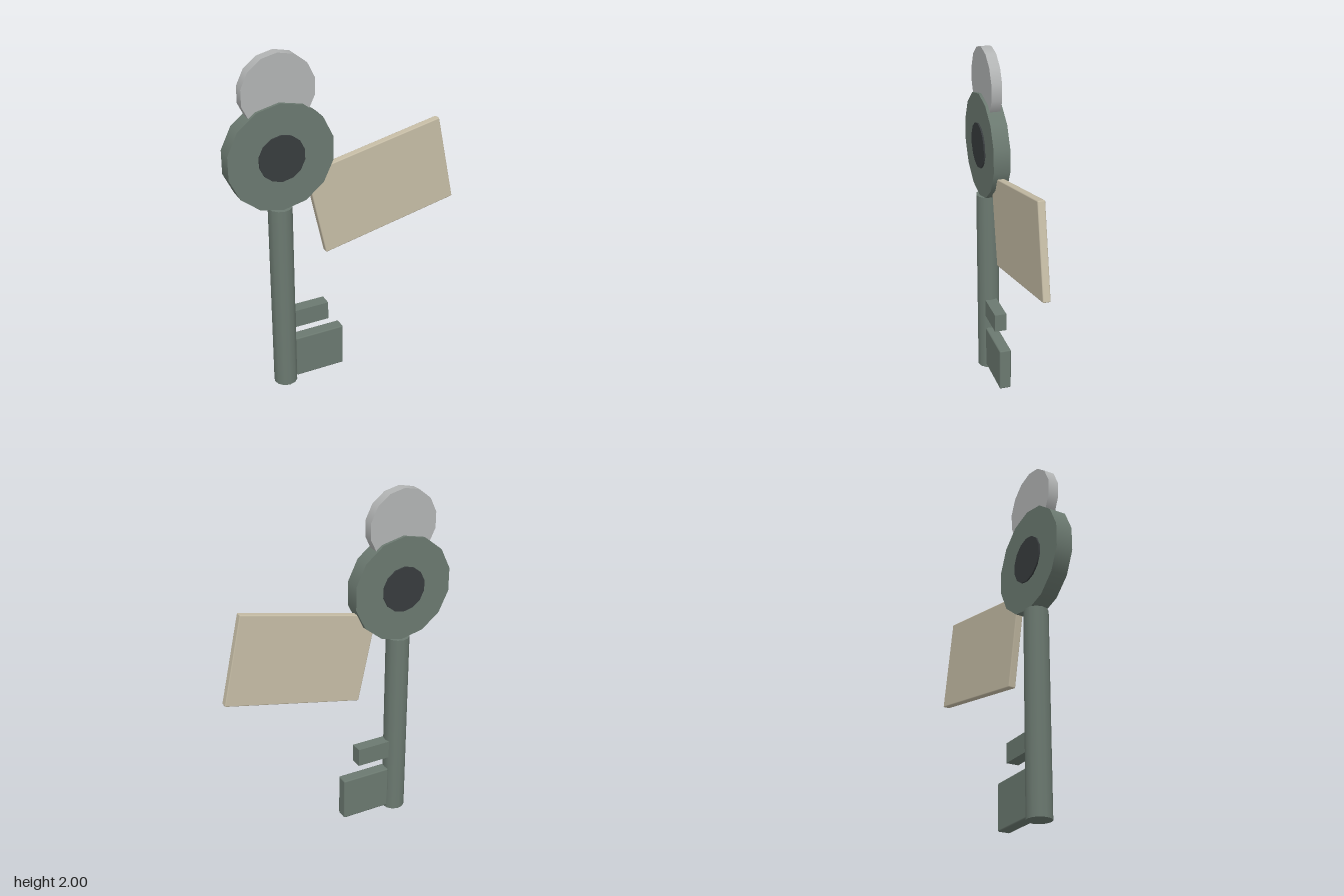
import * as THREE from 'three';
import { RoundedBoxGeometry } from 'three/addons/geometries/RoundedBoxGeometry.js';

const material = (name, color) => {
  const m = new THREE.MeshStandardMaterial({ color });
  m.name = name;
  return m;
};

export function createModel() {
  const group = new THREE.Group();
  const iron = material('green grey iron', 0x6b7970);
  const dark = material('dark centre', 0x383c3e);
  const silver = material('light grey metal', 0xb2b4b4);
  const paper = material('cream paper', 0xc6bda6);
  const keyX = -0.385;

  const add = (name, geometry, mat, x, y) => {
    const mesh = new THREE.Mesh(geometry, mat);
    mesh.name = name;
    mesh.position.set(x, y, 0);
    group.add(mesh);
    return mesh;
  };

  // Disc facing the front, with a corner at its top
  const disc = (name, radius, depth, mat, y) =>
    add(name, new THREE.CylinderGeometry(radius, radius, depth, 14).rotateX(Math.PI / 2), mat, keyX, y);

  // Key head, its dark centre and the hanging disc above
  disc('bow', 0.302, 0.094, iron, 1.437);
  disc('bowCentre', 0.131, 0.111, dark, 1.437);
  disc('hangingDisc', 0.206, 0.06, silver, 1.795);

  // Shaft
  add('shaft', new THREE.CylinderGeometry(0.067, 0.067, 1.135, 12), iron, keyX, 0.5675);

  // Teeth
  add('smallTooth', new THREE.BoxGeometry(0.202, 0.108, 0.07), iron, -0.225, 0.418);
  add('largeTooth', new RoundedBoxGeometry(0.298, 0.258, 0.07, 1, 0.008), iron, -0.178, 0.153);

  // Tilted tag
  const tag = add('tag', new RoundedBoxGeometry(0.822, 0.518, 0.042, 1, 0.006), paper, 0.222, 1.135);
  tag.rotation.z = 0.212;

  return group;
}
